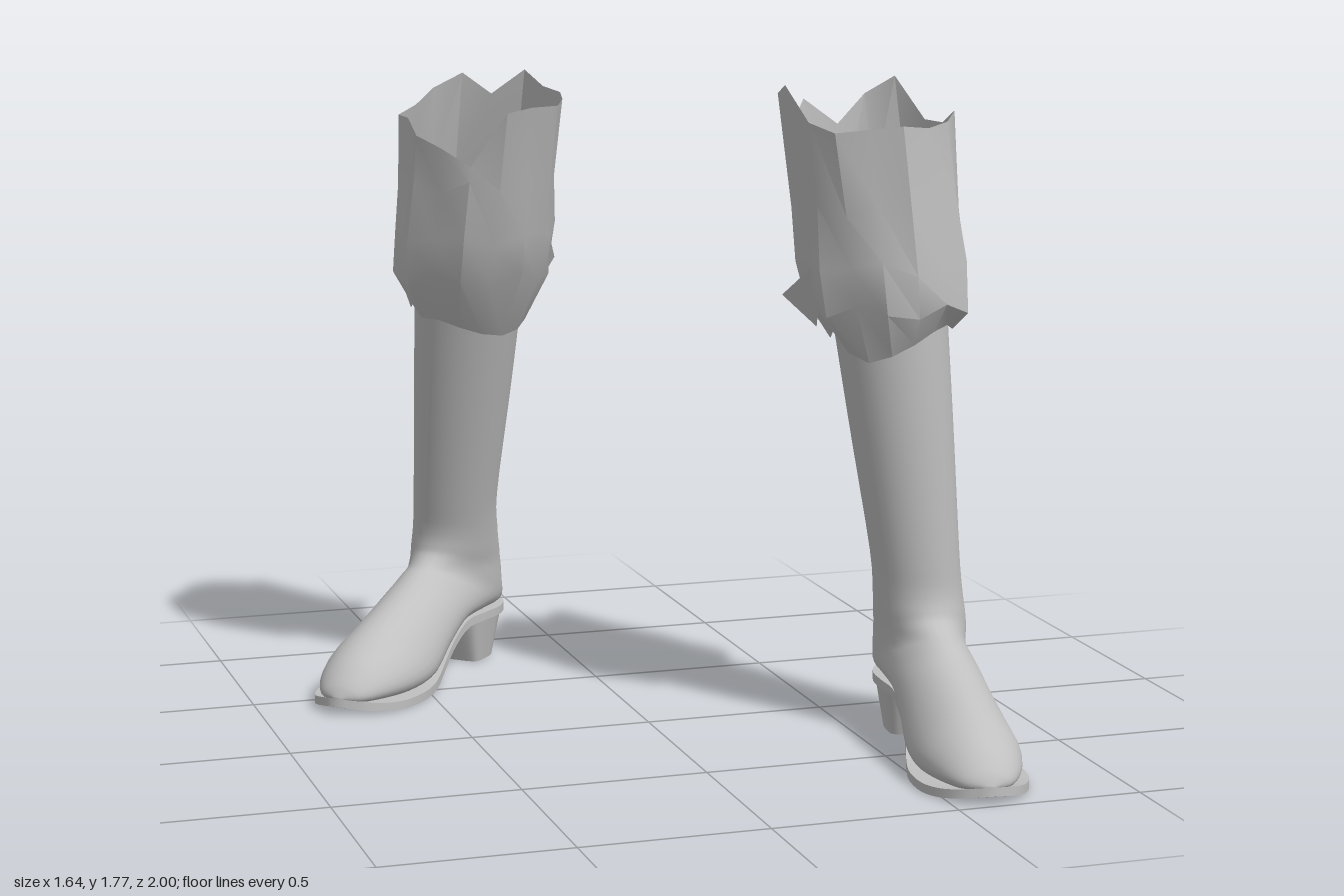
import * as THREE from 'three';
import { toCreasedNormals } from 'three/addons/utils/BufferGeometryUtils.js';

const leather = new THREE.MeshStandardMaterial({ color: 0xc0c0c0, side: THREE.DoubleSide });
leather.name = 'grey leather';

// Skin a list of closed rings; caps fill the first or last ring.
function loft(rings, { capStart = false, capEnd = false, crease = 0 } = {}) {
  const n = rings[0].length, pos = [], idx = [];
  rings.forEach(r => r.forEach(p => pos.push(p.x, p.y, p.z)));
  for (let i = 0; i < rings.length - 1; i++) {
    for (let j = 0; j < n; j++) {
      const k = (j + 1) % n, a = i * n + j, b = a + n, c = (i + 1) * n + k, d = i * n + k;
      idx.push(a, b, c, a, c, d);
    }
  }
  const cap = (row, flip) => {
    const mid = new THREE.Vector3();
    rings[row].forEach(p => mid.addScaledVector(p, 1 / n));
    const c = pos.length / 3;
    pos.push(mid.x, mid.y, mid.z);
    for (let j = 0; j < n; j++) {
      const a = row * n + j, b = row * n + (j + 1) % n;
      if (flip) idx.push(c, b, a); else idx.push(c, a, b);
    }
  };
  if (capStart) cap(0, false);
  if (capEnd) cap(rings.length - 1, true);
  const g = new THREE.BufferGeometry();
  g.setAttribute('position', new THREE.Float32BufferAttribute(pos, 3));
  g.setIndex(idx);
  if (crease) return toCreasedNormals(g, crease);
  g.computeVertexNormals();
  return g;
}

// Foot space (side, height, forward) to model space, with the leg's lean.
function place(b, side, y, fwd) {
  const s = Math.sin(b.yaw), c = Math.cos(b.yaw), up = Math.max(0, y - 0.3);
  return new THREE.Vector3(
    b.x + fwd * s + side * c + b.lean[0] * up, y,
    b.z + fwd * c - side * s + b.lean[1] * up);
}

// Boot sections: front point (fwd, y), back point (fwd, y), half width, sag
const SECTIONS = [
  [0.215, 1.14, -0.085, 1.14, 0.152, 1], [0.2, 0.85, -0.08, 0.85, 0.138, 1],
  [0.18, 0.52, -0.07, 0.52, 0.12, 1], [0.175, 0.42, -0.095, 0.39, 0.12, 1],
  [0.185, 0.37, -0.122, 0.29, 0.123, 1.05], [0.2, 0.345, -0.125, 0.21, 0.122, 1.2],
  [0.235, 0.32, -0.118, 0.15, 0.118, 1.4], [0.27, 0.305, 0, 0.143, 0.116, 1.5],
  [0.33, 0.275, 0.13, 0.14, 0.118, 1.6], [0.42, 0.24, 0.25, 0.09, 0.125, 1.7],
  [0.5, 0.21, 0.37, 0.03, 0.137, 1.8], [0.58, 0.175, 0.5, 0.02, 0.136, 1.8],
  [0.65, 0.135, 0.62, 0.025, 0.107, 1.8], [0.7, 0.085, 0.69, 0.03, 0.065, 1.6],
  [0.718, 0.05, 0.718, 0.04, 0.012, 1],
];

function bootUpper(b) {
  const curve = f => new THREE.CatmullRomCurve3(
    SECTIONS.map(s => new THREE.Vector3(...f(s))), false, 'catmullrom', 0.5);
  const front = curve(s => [s[0], s[1], s[4]]), back = curve(s => [s[2], s[3], s[5]]);
  const rings = [], steps = 48, around = 32;
  for (let i = 0; i <= steps; i++) {
    const F = front.getPoint(i / steps), B = back.getPoint(i / steps), ring = [];
    for (let j = 0; j < around; j++) {
      const t = j / around * Math.PI * 2;
      const h = Math.pow(Math.max(0, (1 + Math.cos(t)) / 2), B.z);
      ring.push(place(b, F.z * Math.sin(t), B.y + (F.y - B.y) * h, B.x + (F.x - B.x) * h));
    }
    rings.push(ring);
  }
  return loft(rings, { capEnd: true });
}

// Sole: forward position, half width, underside height
const SOLE = [
  [-0.135, 0.03, 0.128], [-0.118, 0.08, 0.127], [-0.05, 0.11, 0.126], [0.05, 0.11, 0.127],
  [0.13, 0.1, 0.122], [0.22, 0.1, 0.08], [0.3, 0.11, 0.03], [0.38, 0.13, 0.005],
  [0.48, 0.148, 0], [0.58, 0.142, 0], [0.65, 0.113, 0.005], [0.7, 0.073, 0.015], [0.732, 0.012, 0.025],
];

function sole(b) {
  const curve = new THREE.CatmullRomCurve3(SOLE.map(s => new THREE.Vector3(...s)));
  const rings = curve.getPoints(40).map(p => {
    const y = Math.max(0, p.z), w = p.y;
    return [[-w, y + 0.024], [w, y + 0.024], [w, y], [-w, y]].map(q => place(b, q[0], q[1], p.x));
  });
  return loft(rings, { capStart: true, capEnd: true, crease: 0.6 });
}

// Stacked heel: rounded behind, flat towards the arch
function heel(b) {
  const rings = [[0.135, -0.125, 0.11, 0.105], [0, -0.075, 0.06, 0.085]].map(([y, back, front, w]) => {
    const ring = [], mid = (back + front) / 2, half = (front - back) / 2;
    for (let j = 0; j < 24; j++) {
      const t = (j + 0.5) / 24 * Math.PI * 2, c = Math.cos(t), s = Math.sin(t);
      const e = c > 0 ? 0.3 : 0.7;
      ring.push(place(b, Math.sign(s) * Math.abs(s) ** e * w, y, mid + Math.sign(c) * Math.abs(c) ** e * half));
    }
    return ring;
  });
  return loft(rings, { capStart: true, capEnd: true, crease: 0.6 });
}

// Ragged cloth cuff, open above and below; heights run round from +x by +z
function cuff(b) {
  const n = b.top.length;
  const levels = [[null, 0.162, 0.165], [1.19, 0.218, 0.228], [1.31, 0.222, 0.238], [1.46, 0.212, 0.236], [null, 0.218, 0.242]];
  const rings = levels.map(([level, rx, rz], i) => b.top.map((top, j) => {
    const a = j / n * Math.PI * 2;
    const y = i === 0 ? b.hem[j] : i === 4 ? top : level + 0.02 * Math.sin(j * 2.3 + i);
    const k = 1 + (i === 0 ? 0 : 0.05) * Math.sin(j * 2.6 + i * 0.9 + b.x);
    const p = place(b, 0, y, 0.06);
    return p.add(new THREE.Vector3(rx * k * Math.cos(a), 0, rz * k * Math.sin(a)));
  }));
  return loft(rings, { crease: 0.6 });
}

// Torn corner of cloth on the inner side of the cuff
function flap(b) {
  const pts = [[0.19, 1.33, 0.07], [0.2, 1.13, -0.02], [0.265, 1.21, -0.08], [0.19, 1.25, -0.1]]
    .map(([x, y, z]) => place(b, 0, y, 0.06).add(new THREE.Vector3(b.inner * x, 0, z)));
  const order = b.inner > 0 ? [0, 2, 1, 0, 3, 2] : [0, 1, 2, 0, 2, 3];
  const g = new THREE.BufferGeometry().setFromPoints(order.map(i => pts[i]));
  g.computeVertexNormals();
  return g;
}

const BOOTS = [
  {
    name: 'left', x: 0.68, z: 0.27, yaw: -0.12, lean: [-0.13, 0], inner: -1,
    top: [1.66, 1.7, 1.68, 1.67, 1.68, 1.67, 1.66, 1.68, 1.77, 1.74, 1.66, 1.71, 1.64, 1.72, 1.77, 1.66],
    hem: [1.14, 1.12, 1.14, 1.13, 1.1, 1.07, 1.05, 1.07, 1.12, 1.09, 1.13, 1.1, 1.14, 1.1, 1.12, 1.15],
  },
  {
    name: 'right', x: -0.31, z: -0.86, yaw: -0.745, lean: [0, 0.31], inner: 1,
    top: [1.7, 1.69, 1.68, 1.68, 1.67, 1.52, 1.57, 1.6, 1.64, 1.64, 1.66, 1.7, 1.74, 1.68, 1.75, 1.71],
    hem: [1.09, 1.05, 1.03, 1.02, 1.03, 1.05, 1.07, 1.07, 1.1, 1.08, 1.12, 1.09, 1.1, 1.07, 1.12, 1.1],
  },
];

export function createModel() {
  const model = new THREE.Group();
  model.name = 'pairOfBoots';
  const parts = { bootUpper, sole, heel, cuff, cuffFlap: flap };
  for (const b of BOOTS) {
    const boot = new THREE.Group();
    boot.name = `${b.name}Boot`;
    for (const [name, build] of Object.entries(parts)) {
      const mesh = new THREE.Mesh(build(b), leather);
      mesh.name = name;
      boot.add(mesh);
    }
    model.add(boot);
  }
  return model;
}
